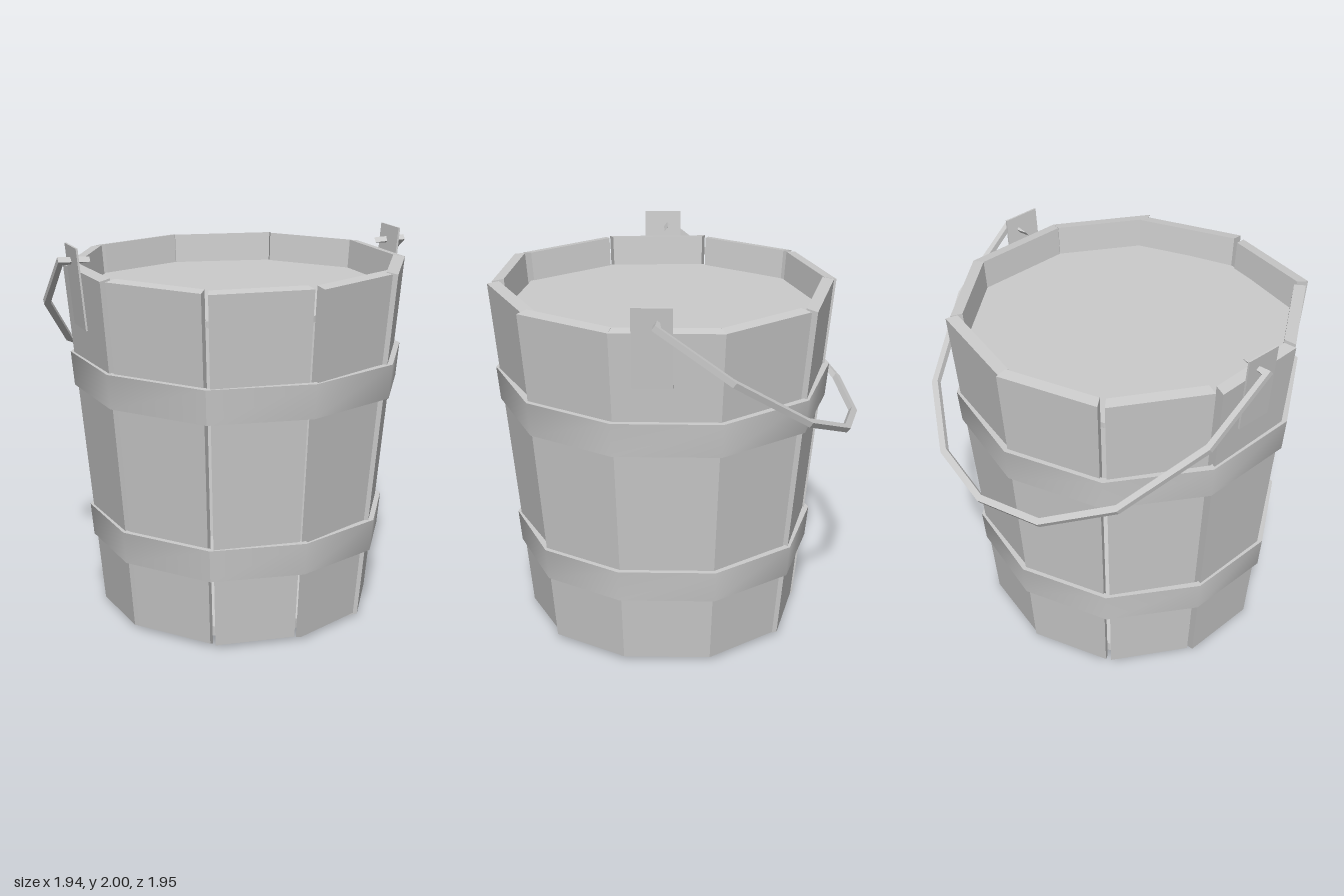
import * as THREE from 'three';
import { toCreasedNormals } from 'three/addons/utils/BufferGeometryUtils.js';

const grey = new THREE.MeshStandardMaterial({ color: 0xcccccc, flatShading: true });
const smooth = new THREE.MeshStandardMaterial({ color: 0xcccccc });
const CZ = 0.06;      // z of the bucket's axis
const RIM = 1.87;     // height of the rim
const WALL = 0.06;    // stave thickness

// Outer rim corners of each plank (x1, z1, x2, z2), running round from the back
const staves = [
  [-0.05, -0.83, 0.52, -0.71], [0.52, -0.68, 0.86, -0.26],
  [0.86, -0.26, 0.86, 0.30], [0.86, 0.30, 0.58, 0.76],
  [0.60, 0.72, 0.08, 0.97], [0.04, 0.95, -0.48, 0.89],
  [-0.50, 0.85, -0.83, 0.41], [-0.85, 0.39, -0.88, -0.15],
  [-0.85, -0.17, -0.58, -0.63], [-0.55, -0.65, -0.04, -0.84],
];
// Mean corner between neighbouring planks
const corners = staves.map((s, i) => {
  const p = staves[(i + 9) % 10];
  return [(s[0] + p[2]) / 2, (s[1] + p[3]) / 2];
});

// The bucket narrows to 80 % at the foot
const taper = (y) => 0.8 + 0.2 * y / RIM;
const place = ([x, z], y, k = 1) =>
  new THREE.Vector3(x * taper(y) * k, y, CZ + (z - CZ) * taper(y) * k);

function mesh(geometry, name, material = grey) {
  const m = new THREE.Mesh(geometry, material);
  m.name = name;
  return m;
}

// Slanted plank: a box whose corners move to the plank ends
function stave([x1, z1, x2, z2]) {
  const g = new THREE.BoxGeometry(1, 1, 1);
  const pos = g.attributes.position;
  const len = Math.hypot(x2 - x1, z2 - z1);
  const nx = -(z2 - z1) / len, nz = (x2 - x1) / len; // towards the axis
  const tx = (x2 - x1) / len, tz = (z2 - z1) / len;
  for (let i = 0; i < pos.count; i++) {
    const first = pos.getX(i) > 0, top = pos.getY(i) > 0, outer = pos.getZ(i) > 0;
    const inset = outer ? 0 : WALL;
    const along = (first ? 1 : -1) * inset * 0.3;
    const p = [(first ? x1 : x2) + nx * inset + tx * along,
      (first ? z1 : z2) + nz * inset + tz * along];
    const v = place(p, top ? RIM : 0);
    v.y = top ? (outer ? 1.865 : 1.875) : (outer ? 0.02 : 0);
    pos.setXYZ(i, v.x, v.y, v.z);
  }
  g.computeVertexNormals();
  return g;
}

// Metal hoop: a four-cornered section carried round the planks
function hoop(y0, y1) {
  const pts = [], index = [];
  corners.forEach((c, i) => {
    const section = [[y0, 1.035], [y1, 1.035], [y1, 0.99], [y0, 0.99]];
    section.forEach(([y, k], j) => {
      pts.push(...place(c, y, k).toArray());
      const a = i * 4 + j, b = i * 4 + (j + 1) % 4;
      const d = ((i + 1) % 10) * 4 + j, e = ((i + 1) % 10) * 4 + (j + 1) % 4;
      index.push(a, b, d, b, e, d);
    });
  });
  const g = new THREE.BufferGeometry();
  g.setAttribute('position', new THREE.Float32BufferAttribute(pts, 3));
  g.setIndex(index);
  return toCreasedNormals(g, 0.75);
}

// Ten-sided board fitting inside the planks
function board(y, thickness) {
  const outline = corners.map((c) => {
    const v = place(c, y, 0.935);
    return new THREE.Vector2(v.x, -v.z);
  });
  const g = new THREE.ExtrudeGeometry(new THREE.Shape(outline), { depth: thickness, bevelEnabled: false });
  return g.rotateX(-Math.PI / 2).translate(0, y, 0);
}

// Flat bail with inward-pointing ends, tipped back and down
function bail() {
  const outer = [[0.97, 0], [0.945, 0.48], [0.715, 0.96], [0.38, 1.23], [0, 1.315],
    [-0.39, 1.235], [-0.725, 0.96], [-0.95, 0.47], [-0.97, 0]];
  const inner = outer.slice(1, -1).map(([x, s]) => [x * 0.965, s - 0.035 * s / 1.3]);
  const outline = [...outer, [-0.80, 0.015], [-0.94, 0.035],
    ...inner.reverse(), [0.94, 0.035], [0.80, 0.015]];
  const shape = new THREE.Shape(outline.map(([x, s]) => new THREE.Vector2(x, s)));
  const g = new THREE.ExtrudeGeometry(shape, { depth: 0.03, bevelEnabled: false });
  g.translate(0, 0, -0.015);
  const along = new THREE.Vector3(0, -0.605, -0.796).normalize();
  const across = new THREE.Vector3(1, 0, 0);
  const normal = across.clone().cross(along);
  g.applyMatrix4(new THREE.Matrix4().makeBasis(across, along, normal).setPosition(0, 1.93, 0.08));
  return g;
}

export function createModel() {
  const bucket = new THREE.Group();
  bucket.name = 'bucket';

  const wall = new THREE.Group();
  wall.name = 'staves';
  staves.forEach((s, i) => wall.add(mesh(stave(s), `stave${i + 1}`)));
  bucket.add(wall);

  bucket.add(mesh(hoop(0.385, 0.555), 'lowerHoop', smooth));
  bucket.add(mesh(hoop(1.22, 1.40), 'upperHoop', smooth));
  bucket.add(mesh(board(0.05, 0.05), 'base'));
  bucket.add(mesh(board(1.69, 0.03), 'contents'));

  // Handle plates lean with the wall
  for (const [side, x, name] of [[1, 0.86, 'leftHandlePlate'], [-1, 0.882, 'rightHandlePlate']]) {
    const plate = mesh(new THREE.BoxGeometry(0.01, 0.42, 0.2), name);
    plate.position.set(side * x, 1.79, 0.09);
    plate.rotation.z = -side * 0.1;
    bucket.add(plate);
  }
  bucket.add(mesh(bail(), 'handle'));
  return bucket;
}
